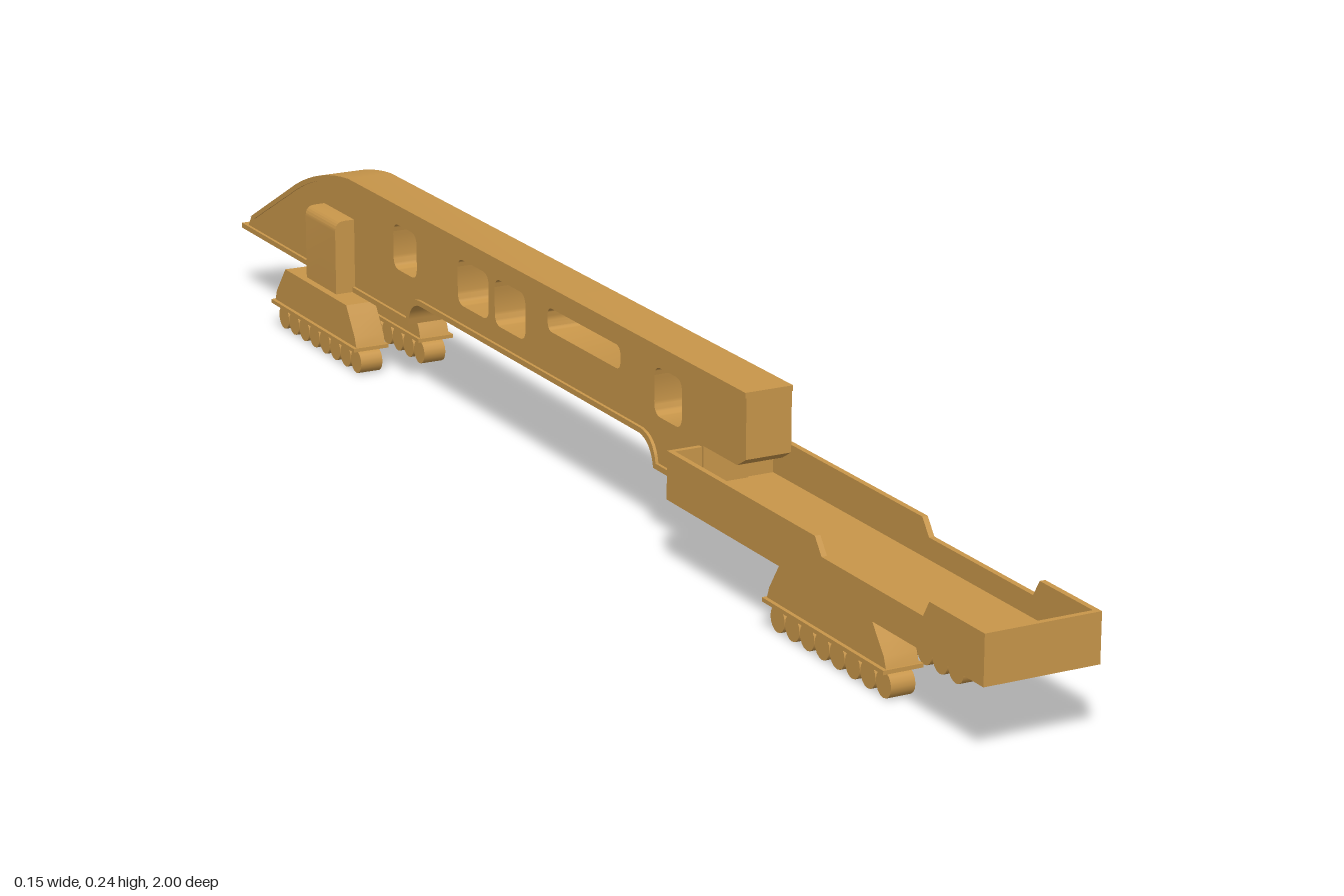
import * as THREE from 'three';
import { toCreasedNormals } from 'three/addons/utils/BufferGeometryUtils.js';

const mat = new THREE.MeshStandardMaterial({ color: 0xc8964a });

function add(parent, geometry, name, x = 0, y = 0, z = 0) {
  const mesh = new THREE.Mesh(geometry, mat);
  mesh.name = name;
  mesh.position.set(x, y, z);
  parent.add(mesh);
  return mesh;
}

const box = (w, h, d) => new THREE.BoxGeometry(w, h, d);

// Extrudes a (z, y) side profile across x, centred on x = 0
function sideExtrude(shape, width) {
  const g = new THREE.ExtrudeGeometry(shape, { depth: width, bevelEnabled: false, curveSegments: 8 });
  g.translate(0, 0, -width / 2);
  g.rotateY(-Math.PI / 2);
  return toCreasedNormals(g, 0.5);
}

function polygon(points) {
  return new THREE.Shape(points.map(([a, b]) => new THREE.Vector2(a, b)));
}

// Rounded window opening between two corners
function windowHole(z0, z1, y0, y1, r) {
  const p = new THREE.Path();
  p.moveTo(z0 + r, y0);
  p.lineTo(z1 - r, y0);
  p.quadraticCurveTo(z1, y0, z1, y0 + r);
  p.lineTo(z1, y1 - r);
  p.quadraticCurveTo(z1, y1, z1 - r, y1);
  p.lineTo(z0 + r, y1);
  p.quadraticCurveTo(z0, y1, z0, y1 - r);
  p.lineTo(z0, y0 + r);
  p.quadraticCurveTo(z0, y0, z0 + r, y0);
  return p;
}

// Long body with an arched underside, windows and a sloping nose
function createBody() {
  const body = new THREE.Group();
  body.name = 'body';
  const s = new THREE.Shape();
  s.moveTo(0.42, 0.243);
  s.lineTo(-0.65, 0.243);
  s.quadraticCurveTo(-0.74, 0.235, -0.82, 0.195);
  s.lineTo(-0.975, 0.112);
  s.lineTo(-0.985, 0.098);
  s.lineTo(-0.985, 0.09);
  s.lineTo(-0.465, 0.09);
  s.quadraticCurveTo(-0.46, 0.122, -0.43, 0.124);
  s.lineTo(0.17, 0.124);
  s.quadraticCurveTo(0.2, 0.12, 0.205, 0.09);
  s.lineTo(0.32, 0.09);
  s.lineTo(0.32, 0.15);
  s.lineTo(0.4, 0.15);
  s.lineTo(0.42, 0.162);
  s.closePath();
  s.holes.push(
    windowHole(0.2, 0.268, 0.155, 0.216, 0.016),
    windowHole(-0.075, 0.115, 0.186, 0.216, 0.012),
    windowHole(-0.22, -0.135, 0.155, 0.216, 0.016),
    windowHole(-0.325, -0.237, 0.155, 0.216, 0.016),
    windowHole(-0.515, -0.445, 0.155, 0.216, 0.016)
  );
  add(body, sideExtrude(s, 0.06), 'shell');

  // Lip that follows the lower edge
  const lip = new THREE.Shape();
  lip.moveTo(-1, 0.09);
  lip.lineTo(-0.465, 0.09);
  lip.quadraticCurveTo(-0.46, 0.122, -0.43, 0.124);
  lip.lineTo(0.17, 0.124);
  lip.quadraticCurveTo(0.2, 0.12, 0.205, 0.09);
  lip.lineTo(0.32, 0.09);
  lip.lineTo(0.32, 0.097);
  lip.lineTo(0.211, 0.097);
  lip.quadraticCurveTo(0.205, 0.129, 0.172, 0.131);
  lip.lineTo(-0.432, 0.131);
  lip.quadraticCurveTo(-0.466, 0.129, -0.472, 0.097);
  lip.lineTo(-1, 0.097);
  add(body, sideExtrude(lip, 0.068), 'lowerLip');

  // Roof cap with a slight overhang down the nose
  const roof = new THREE.Shape();
  roof.moveTo(0.42, 0.243);
  roof.lineTo(-0.65, 0.243);
  roof.quadraticCurveTo(-0.74, 0.235, -0.82, 0.195);
  roof.lineTo(-0.975, 0.112);
  roof.lineTo(-0.962, 0.112);
  roof.lineTo(-0.818, 0.188);
  roof.quadraticCurveTo(-0.74, 0.228, -0.65, 0.236);
  roof.lineTo(0.42, 0.236);
  add(body, sideExtrude(roof, 0.063), 'roofCap');
  return body;
}

// Open trough with stepped side walls
function createTrough() {
  const trough = new THREE.Group();
  trough.name = 'trough';
  const wall = polygon([
    [0.31, 0.088], [1, 0.088], [1, 0.148], [0.89, 0.148], [0.878, 0.128],
    [0.665, 0.128], [0.65, 0.148], [0.31, 0.148]
  ]);
  for (const s of [1, -1]) add(trough, sideExtrude(wall, 0.007), 'sideWall', s * 0.0695);
  add(trough, box(0.133, 0.014, 0.69), 'floor', 0, 0.095, 0.655);
  add(trough, box(0.133, 0.06, 0.007), 'frontWall', 0, 0.118, 0.9965);
  add(trough, box(0.133, 0.06, 0.007), 'backWall', 0, 0.118, 0.3135);
  return trough;
}

// Pair of roller trucks; dir flips the slopes front to back
function createBogie(name, z, dir) {
  const bogie = new THREE.Group();
  bogie.name = name;
  bogie.position.z = z;
  const points = [[-0.13, 0.038], [0.13, 0.038], [0.125, 0.052], [0.095, 0.09], [-0.1, 0.09], [-0.125, 0.052]];
  const hull = polygon(points.map(([a, b]) => [a * dir, b]));
  const roller = new THREE.CylinderGeometry(0.016, 0.016, 0.031, 16);
  roller.rotateZ(Math.PI / 2);
  for (const s of [1, -1]) {
    add(bogie, sideExtrude(hull, 0.042), 'truckFrame', s * 0.047);
    add(bogie, box(0.051, 0.005, 0.265), 'truckPlate', s * 0.0475, 0.0365);
    add(bogie, box(0.02, 0.02, 0.24), 'axleBeam', s * 0.0465, 0.028);
    for (let i = 0; i < 8; i++) add(bogie, roller, 'roller', s * 0.0465, 0.016, (i - 3.5) * 0.033);
  }
  return bogie;
}

// Side housings above the rear trucks, rounded on the outer top edge
function createHousing() {
  const s = new THREE.Shape();
  s.moveTo(-0.058, 0.085);
  s.lineTo(0.058, 0.085);
  s.lineTo(0.058, 0.176);
  s.quadraticCurveTo(0.058, 0.19, 0.044, 0.19);
  s.lineTo(-0.044, 0.19);
  s.quadraticCurveTo(-0.058, 0.19, -0.058, 0.176);
  s.closePath();
  const g = new THREE.ExtrudeGeometry(s, { depth: 0.094, bevelEnabled: false, curveSegments: 6 });
  return toCreasedNormals(g, 0.5);
}

export function createModel() {
  const model = new THREE.Group();
  model.name = 'carrier';
  model.add(createBody(), createTrough());
  model.add(createBogie('frontBogie', 0.667, 1), createBogie('rearBogie', -0.683, -1));
  add(model, createHousing(), 'rearHousing', 0, 0, -0.73);
  return model;
}
